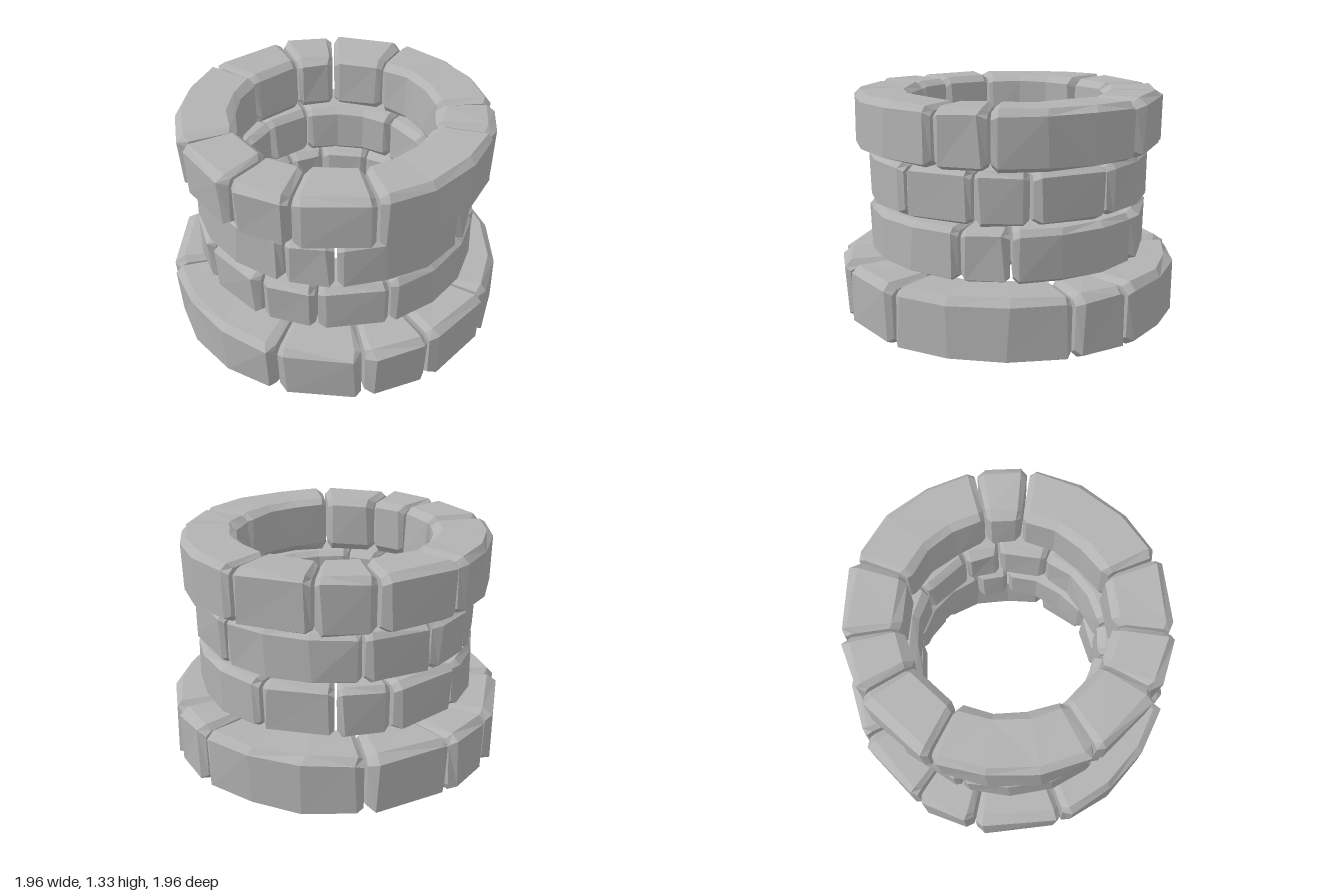
import * as THREE from 'three';

// Small seeded random, -1..1, for the chipped look of the stones
let seed = 7;
const jitter = (amount) => {
  seed = (seed * 16807) % 2147483647;
  return (seed / 2147483647 * 2 - 1) * amount;
};

// Chamfered cross-section of a stone as [radius, height], counter-clockwise
const PROFILE = [
  [0.66, 0.006], [0.925, 0.006], [0.985, 0.035], [0.99, 0.325],
  [0.945, 0.364], [0.675, 0.364], [0.625, 0.325], [0.62, 0.05],
];
// Angles in degrees (from the front towards the left) where stones meet
const JOINTS = [-29, 29, 58, 81, 110, 170, 190, 247, 277, 299, 331];

// One stone: the profile swept between two angles, with shrunken ends
function stoneGeometry(from, to) {
  const gap = 0.6, bevel = 2.6;
  const a = from + gap, b = to - gap;
  const angles = [a, a + bevel];
  if (to - from > 40) angles.push(a + (b - a) * 0.34, a + (b - a) * 0.66);
  angles.push(b - bevel, b);

  const sections = angles.map((deg, s) => {
    const isEnd = s === 0 || s === angles.length - 1;
    return PROFILE.map(([r, y]) => {
      const shrink = isEnd ? 0.84 : 1;
      const radius = 0.805 + (r - 0.805) * shrink + jitter(0.011);
      const height = 0.185 + (y - 0.185) * shrink + jitter(0.006);
      const t = THREE.MathUtils.degToRad(deg + (isEnd ? 0 : jitter(0.8)));
      return [radius * Math.sin(t), height, radius * Math.cos(t)];
    });
  });

  const positions = [];
  const tri = (p, q, r) => positions.push(...p, ...q, ...r);
  const n = PROFILE.length;
  for (let s = 0; s < sections.length - 1; s++) {
    for (let i = 0; i < n; i++) {
      const j = (i + 1) % n;
      const p = sections[s][i], q = sections[s + 1][i];
      const r = sections[s + 1][j], u = sections[s][j];
      if ((s + i) % 2) { tri(p, q, r); tri(p, r, u); }
      else { tri(p, q, u); tri(q, r, u); }
    }
  }
  // End caps
  const first = sections[0], last = sections[sections.length - 1];
  for (let i = 1; i < n - 1; i++) {
    tri(first[0], first[i], first[i + 1]);
    tri(last[0], last[i + 1], last[i]);
  }

  const geometry = new THREE.BufferGeometry();
  geometry.setAttribute('position', new THREE.Float32BufferAttribute(positions, 3));
  geometry.computeVertexNormals(); // unshared corners keep the facets flat
  return geometry;
}

export function createModel() {
  seed = 7;
  const model = new THREE.Group();
  model.name = 'stoneWell';
  const stone = new THREE.MeshStandardMaterial({ color: 0xb2b2b2, flatShading: true });
  stone.name = 'grey stone';

  // Every course is the same ring of stones, scaled and turned
  const courses = [
    { name: 'baseCourse', y: 0, scale: 1, turn: 0 },
    { name: 'lowerCourse', y: 0.382, scale: 0.83, turn: -39.5 },
    { name: 'upperCourse', y: 0.692, scale: 0.83, turn: -141 },
    { name: 'rimCourse', y: 0.996, scale: 0.905, turn: -47 },
  ];
  const stones = JOINTS.slice(1).map((end, i) => stoneGeometry(JOINTS[i], end));

  for (const { name, y, scale, turn } of courses) {
    const course = new THREE.Group();
    course.name = name;
    stones.forEach((geometry, i) => {
      const mesh = new THREE.Mesh(geometry, stone);
      mesh.name = `stone${i + 1}`;
      course.add(mesh);
    });
    course.position.y = y;
    course.scale.setScalar(scale);
    course.rotation.y = THREE.MathUtils.degToRad(turn);
    model.add(course);
  }
  return model;
}
